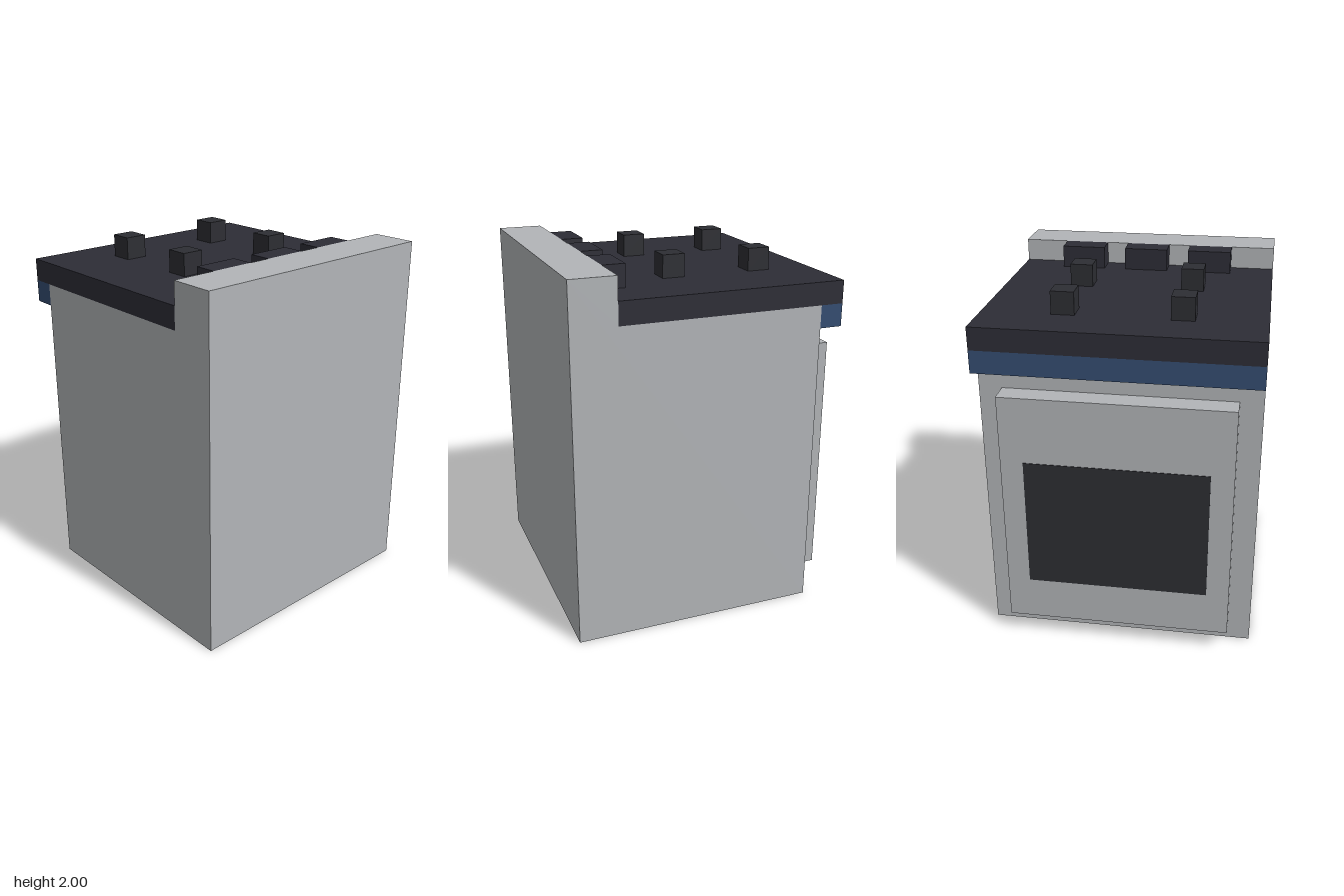
import * as THREE from 'three';

const makeMaterial = (name, color) => {
  const m = new THREE.MeshStandardMaterial({ color });
  m.name = name;
  return m;
};

export function createModel() {
  const stove = new THREE.Group();
  stove.name = 'stove';

  const steel = makeMaterial('steel grey', 0xb2b5b8);
  const black = makeMaterial('cooktop black', 0x2d2d36);
  const glass = makeMaterial('charcoal', 0x2d2e33);
  const blue = makeMaterial('panel blue', 0x354d72);

  // Box given by its lower and upper corners
  const box = (name, material, [x0, y0, z0], [x1, y1, z1]) => {
    const mesh = new THREE.Mesh(new THREE.BoxGeometry(x1 - x0, y1 - y0, z1 - z0), material);
    mesh.position.set((x0 + x1) / 2, (y0 + y1) / 2, (z0 + z1) / 2);
    mesh.name = name;
    stove.add(mesh);
  };

  // Casing with upright splashback: side profile (z, y) extruded across x
  const profile = new THREE.Shape([
    [-0.625, 0], [0.75, 0], [0.75, 2], [0.5, 2], [0.5, 1.75], [-0.625, 1.75],
  ].map(([z, y]) => new THREE.Vector2(z, y)));
  const casingGeometry = new THREE.ExtrudeGeometry(profile, { depth: 1.5, bevelEnabled: false });
  casingGeometry.translate(0, 0, -0.75).rotateY(-Math.PI / 2);
  const casing = new THREE.Mesh(casingGeometry, steel);
  casing.name = 'casing';
  stove.add(casing);

  // Cooktop slab and the control strip below its overhang
  box('cooktop', black, [-0.75, 1.75, -0.75], [0.75, 1.875, 0.5]);
  box('controlStrip', blue, [-0.75, 1.625, -0.75], [0.75, 1.75, -0.625]);

  // Oven door with a dark window plate
  box('ovenDoor', steel, [-0.625, 0.125, -0.75], [0.625, 1.5, -0.625]);
  box('ovenWindow', glass, [-0.5, 0.375, -0.753], [0.5, 1.125, -0.748]);

  // Four burner blocks
  for (const x of [-0.375, 0.25]) {
    for (const z of [-0.5, 0]) {
      box('burner', glass, [x, 1.875, z], [x + 0.125, 2, z + 0.125]);
    }
  }

  // Three vent blocks against the splashback
  for (const x of [-0.375, 0, 0.375]) {
    box('vent', black, [x - 0.125, 1.875, 0.375], [x + 0.125, 2, 0.5]);
  }

  return stove;
}
